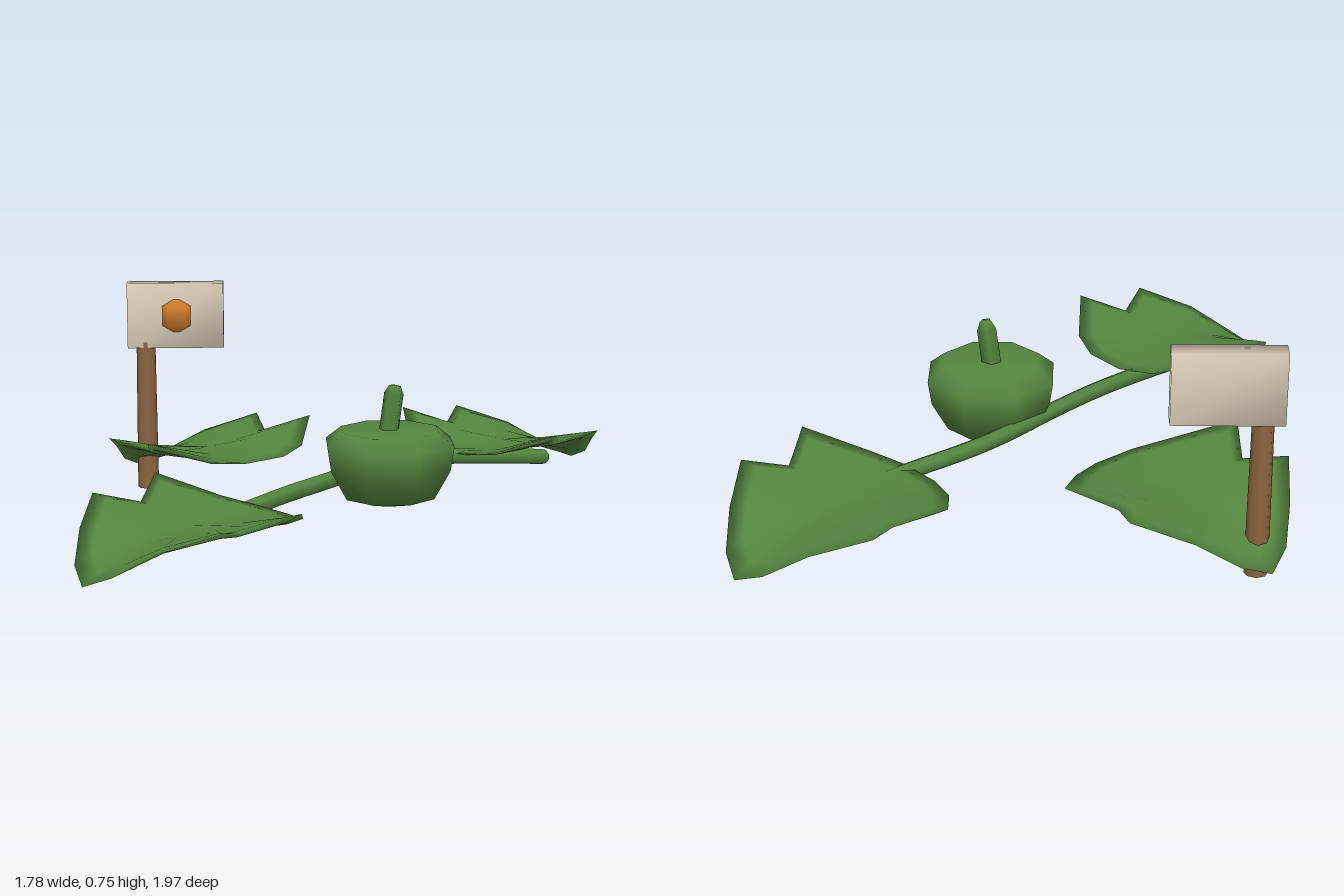
import * as THREE from 'three';
import { mergeVertices } from 'three/addons/utils/BufferGeometryUtils.js';

// Thin closed leaf: shared rim, with upper and lower inner rings and centres
function leafGeometry() {
  // half outline from base to tip: along the axis, sideways, height
  const half = [
    [-0.315, 0.08, 0.185], [-0.27, 0.207, 0.2], [-0.13, 0.375, 0.268], [0, 0.27, 0.21],
    [0.13, 0.345, 0.245], [0.27, 0.207, 0.18], [0.362, 0.098, 0.1], [0.4, 0, 0.06],
  ];
  const rim = [...half, ...half.slice(0, -1).reverse().map(([u, v, y]) => [u, -v, y])];
  const n = rim.length, mid = 0.172, pos = [], index = [];
  const ring = (f, lift) => {
    const start = pos.length / 3;
    for (const [u, v, y] of rim) pos.push(u * f, mid + (y - mid) * f * f + lift, v * f);
    return start;
  };
  const edge = ring(1, 0);
  for (const side of [1, -1]) {
    const tri = (a, b, c) => index.push(...(side > 0 ? [a, b, c] : [a, c, b]));
    const outer = ring(0.85, 0.009 * side);
    const inner = ring(0.45, 0.012 * side);
    const centre = pos.length / 3;
    pos.push(0, mid + 0.013 * side, 0);
    for (let i = 0; i < n; i++) {
      const j = (i + 1) % n;
      for (const [a, b] of [[edge, outer], [outer, inner]]) {
        tri(a + i, a + j, b + j);
        tri(a + i, b + j, b + i);
      }
      tri(centre, inner + i, inner + j);
    }
  }
  const g = new THREE.BufferGeometry();
  g.setAttribute('position', new THREE.Float32BufferAttribute(pos, 3));
  g.setIndex(index);
  g.computeVertexNormals();
  return g;
}

// Box whose corners share one normal, for soft shading
function softBox(w, h, d) {
  let g = new THREE.BoxGeometry(w, h, d);
  g.deleteAttribute('normal');
  g.deleteAttribute('uv');
  g = mergeVertices(g);
  g.computeVertexNormals();
  return g;
}

const lathe = (points, sides, start) =>
  new THREE.LatheGeometry(points.map(([r, y]) => new THREE.Vector2(r, y)), sides, start);

export function createModel() {
  const model = new THREE.Group();
  model.name = 'pumpkinPlant';
  const material = (name, color) => {
    const m = new THREE.MeshStandardMaterial({ color });
    m.name = name;
    return m;
  };
  const green = material('plantGreen', 0x54853f);
  const wood = material('wood', 0x8c6542);
  const cream = material('signCream', 0xd9ccb6);
  const orange = material('orange', 0xd07c2c);

  const add = (name, geometry, mat, x = 0, y = 0, z = 0) => {
    const mesh = new THREE.Mesh(geometry, mat);
    mesh.name = name;
    mesh.position.set(x, y, z);
    model.add(mesh);
    return mesh;
  };

  // Leaves: one shape placed three times
  const leaf = leafGeometry();
  const leaves = [
    ['backLeftLeaf', 0.555, -0.653, 0.73],
    ['frontRightLeaf', -0.535, 0.62, 3.8],
    ['backRightLeaf', -0.51, -0.553, 2.292],
  ];
  for (const [name, x, z, turn] of leaves) add(name, leaf, green, x, 0, z).rotation.y = turn;

  // Vine running under two leaves
  const path = [
    [-0.62, 0.13, 0.62], [-0.37, 0.165, 0.34], [-0.25, 0.178, 0.2], [-0.1, 0.185, 0.02],
    [0.05, 0.19, -0.17], [0.17, 0.19, -0.29], [0.36, 0.172, -0.41], [0.7, 0.125, -0.61],
  ].map((p) => new THREE.Vector3(...p));
  add('vine', new THREE.TubeGeometry(new THREE.CatmullRomCurve3(path), 28, 0.028, 7), green);
  for (const p of [path[0], path[path.length - 1]])
    add('vineEnd', new THREE.SphereGeometry(0.028, 7, 5), green, p.x, p.y, p.z);

  // Unripe pumpkin and its stem
  add('pumpkin', lathe([[0, 0.097], [0.157, 0.135], [0.213, 0.235], [0.226, 0.317], [0.172, 0.36], [0, 0.362]],
    8, Math.PI / 8), green, 0.105, 0, 0.037);
  add('stem', lathe([[0.034, -0.02], [0.034, 0.125], [0.02, 0.153], [0, 0.155]], 5, Math.PI),
    green, 0.103, 0.355, 0.037).rotation.z = -0.13;

  // Sign: post, board and round badge
  add('signPost', new THREE.CylinderGeometry(0.034, 0.038, 0.54, 8), wood, -0.735, 0.27, -0.736);
  add('signBoard', softBox(0.347, 0.235, 0.07), cream, -0.626, 0.637, -0.74);
  add('signBadge', new THREE.SphereGeometry(0.072, 6, 3), orange, -0.622, 0.637, -0.722)
    .scale.z = 0.84;

  return model;
}
